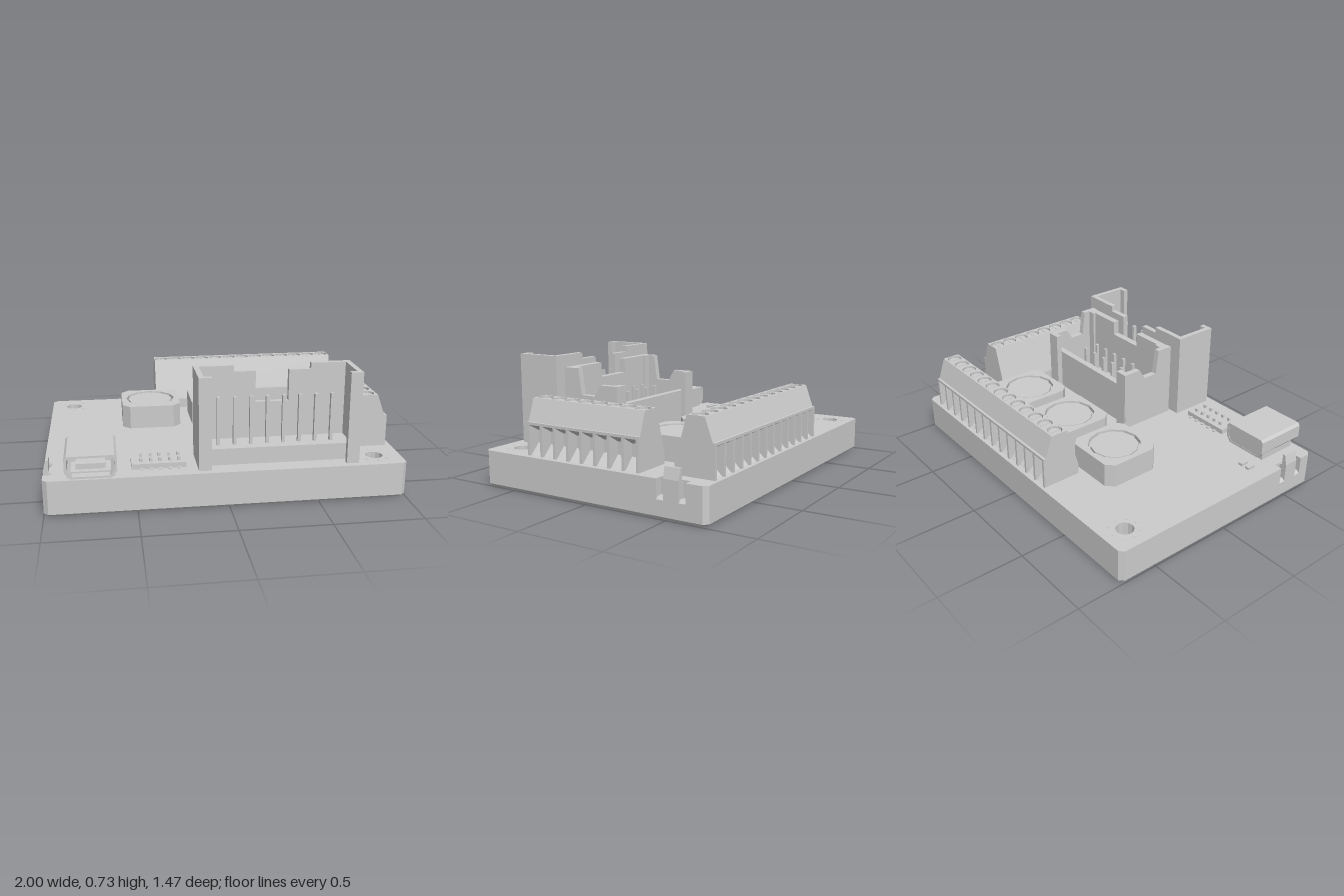
import * as THREE from 'three';

const mat = new THREE.MeshStandardMaterial({ color: 0xcccccc, flatShading: true });
const TOP = 0.205; // board surface height

function add(parent, name, geo, x = 0, y = 0, z = 0) {
  const m = new THREE.Mesh(geo, mat);
  m.name = name;
  m.position.set(x, y, z);
  parent.add(m);
  return m;
}

// box given by its limits on each axis
function box(parent, name, x0, x1, y0, y1, z0, z1) {
  return add(parent, name, new THREE.BoxGeometry(x1 - x0, y1 - y0, z1 - z0),
    (x0 + x1) / 2, (y0 + y1) / 2, (z0 + z1) / 2);
}

const poly = pts => new THREE.Shape(pts.map(p => new THREE.Vector2(p[0], p[1])));

function circleHole(shape, x, y, r) {
  shape.holes.push(new THREE.Path().absarc(x, y, r, 0, Math.PI * 2, true));
}

const extrude = (shape, depth, opts = {}) =>
  new THREE.ExtrudeGeometry(shape, { depth, bevelEnabled: false, curveSegments: 6, ...opts });

// plan shape drawn as (x, -z), raised from y0 to y1
function slab(parent, name, shape, y0, y1, bevel = 0) {
  const opts = bevel ? { bevelEnabled: true, bevelSize: bevel, bevelOffset: -bevel, bevelThickness: bevel, bevelSegments: 1 } : {};
  const geo = extrude(shape, y1 - y0 - 2 * bevel, opts);
  geo.translate(0, 0, bevel);
  geo.rotateX(-Math.PI / 2);
  return add(parent, name, geo, 0, y0, 0);
}

const mounts = [[-0.86, -0.595], [0.85, 0.57]];

// board outline; the upper layer has slots beside the edge clips
function boardShape(slots) {
  const c = 0.025, zb = 0.733, zf = -0.712, d = 0.955;
  const pts = [[-1 + c, zf], [1 - c, zf], [1, zf + c]];
  if (slots) pts.push([1, 0.445], [d, 0.445], [d, 0.615], [1, 0.615]);
  pts.push([1, zb - c], [1 - c, zb], [-1 + c, zb], [-1, zb - c]);
  if (slots) pts.push([-1, -0.45], [-d, -0.45], [-d, -0.62], [-1, -0.62]);
  pts.push([-1, zf + c]);
  const s = poly(pts);
  mounts.forEach(([x, z]) => circleHole(s, x, -z, 0.05));
  return s;
}

function board(root) {
  const g = new THREE.Group();
  g.name = 'board';
  root.add(g);
  slab(g, 'boardBase', boardShape(false), 0, 0.115, 0.015);
  slab(g, 'boardTop', boardShape(true), 0.1, TOP);
  // tapered clip on each short side
  const clip = poly([[0.955, 0.1], [1, 0.1], [1, 0.21], [0.985, 0.27], [0.97, 0.27], [0.97, 0.2], [0.955, 0.2]]);
  add(g, 'leftClip', extrude(clip, 0.09), 0, 0, -0.575);
  add(g, 'rightClip', extrude(clip, 0.09), 0, 0, 0.58).rotation.y = Math.PI;
  // ring of vias round each mounting hole
  mounts.forEach(([x, z]) => {
    for (let i = 0; i < 8; i++) {
      const a = i * Math.PI / 4;
      add(g, 'via', new THREE.CylinderGeometry(0.008, 0.008, 0.004, 6),
        x + 0.082 * Math.cos(a), TOP, z + 0.082 * Math.sin(a));
    }
  });
}

// screw terminal block: x is outward, z runs along the block
function terminalBlock(root, name, n, length) {
  const g = new THREE.Group();
  g.name = name;
  root.add(g);
  const upper = [[0, 0.2], [0, 0.265], [0.07, 0.515], [0.073, 0.515], [0.073, 0.48],
    [0.167, 0.48], [0.167, 0.515], [0.172, 0.515], [0.217, 0.39], [0.232, 0.39]];
  const core = [...upper, [0.232, 0.375], [0.16, 0.335], [0.16, 0.265], [0.225, 0.2]];
  add(g, 'terminalBody', extrude(poly(core.reverse()), length));
  const fin = poly([[0.232, 0.2], [0.232, 0.385], [0.15, 0.385], [0.15, 0.2]]);
  const t = 0.016, pitch = length / n;
  for (let i = 0; i <= n; i++) {
    add(g, 'fin', extrude(fin, t), 0, 0, i * (length - t) / n);
  }
  // top plate with a sunken screw over every bay
  const plate = poly([[0.073, 0], [0.167, 0], [0.167, -length], [0.073, -length]].reverse());
  for (let i = 0; i < n; i++) {
    const z = (i + 0.5) * pitch;
    circleHole(plate, 0.12, -z, 0.043);
    add(g, 'screw', new THREE.CylinderGeometry(0.036, 0.036, 0.03, 10), 0.12, 0.49, z);
    box(g, 'screwSlot', 0.09, 0.15, 0.5, 0.508, z - 0.004, z + 0.004);
  }
  slab(g, 'topPlate', plate, 0.48, 0.515);
  return g;
}

// chamfered square coil with a round recessed core
function inductor(root, x, z) {
  const g = new THREE.Group();
  g.name = 'inductor';
  g.position.set(x, 0, z);
  root.add(g);
  const r = 0.18, c = 0.135;
  const s = poly([[-c, -r], [c, -r], [r, -c], [r, c], [c, r], [-c, r], [-r, c], [-r, -c]]);
  circleHole(s, 0, 0, 0.152);
  slab(g, 'coilCase', s, TOP - 0.005, 0.345);
  add(g, 'coilCore', new THREE.CylinderGeometry(0.138, 0.138, 0.14, 12), 0, 0.27, 0);
  add(g, 'coilFloor', new THREE.CylinderGeometry(0.155, 0.155, 0.12, 12), 0, 0.26, 0);
}

// tall open-fronted connector with one row of pins
function rowConnector(root) {
  const g = new THREE.Group();
  g.name = 'rowConnector';
  root.add(g);
  const x0 = -0.165, x1 = 0.73;
  box(g, 'connectorFloor', x0, x1, 0.2, 0.3, 0.41, 0.605);
  const wall = poly([[x0, 0.2], [x1, 0.2], [x1, 0.725], [0.5, 0.725], [0.5, 0.69], [0.375, 0.69],
    [0.375, 0.51], [0.185, 0.51], [0.185, 0.69], [0.06, 0.69], [0.06, 0.725], [x0, 0.725]]);
  add(g, 'backWall', extrude(wall, 0.032), 0, 0, 0.408);
  box(g, 'sideWall', x0, x0 + 0.03, 0.2, 0.725, 0.41, 0.675);
  box(g, 'sideWall', x1 - 0.03, x1, 0.2, 0.725, 0.41, 0.675);
  box(g, 'frontLip', x0, x0 + 0.07, 0.2, 0.725, 0.645, 0.675);
  box(g, 'frontLip', x1 - 0.07, x1, 0.2, 0.725, 0.645, 0.675);
  for (let i = 0; i < 8; i++) {
    const x = -0.04 + i * 0.0915;
    box(g, 'pin', x - 0.009, x + 0.009, 0.28, 0.575, 0.525, 0.548);
  }
}

// keyed box header with two rows of pins and raised corner ears
function boxHeader(root) {
  const g = new THREE.Group();
  g.name = 'boxHeader';
  root.add(g);
  const x0 = -0.105, x1 = 0.68, mid = (x0 + x1) / 2;
  box(g, 'headerFloor', x0 + 0.03, x1 - 0.03, 0.2, 0.27, 0.07, 0.37);
  const front = poly([[x0, 0.2], [x1, 0.2], [x1, 0.58], [x1 - 0.04, 0.66], [0.4, 0.66], [0.4, 0.575],
    [0.17, 0.575], [0.17, 0.66], [x0 + 0.04, 0.66], [x0, 0.58]]);
  add(g, 'frontWall', extrude(front, 0.04), 0, 0, 0.345);
  box(g, 'rearWall', x0 + 0.03, x1 - 0.03, 0.2, 0.46, 0.06, 0.1);
  const ear = poly([[-0.39, 0.2], [-0.03, 0.2], [-0.03, 0.575], [-0.14, 0.575], [-0.18, 0.51],
    [-0.27, 0.51], [-0.29, 0.66], [-0.39, 0.66]]);
  for (const s of [-1, 1]) {
    const end = add(g, 'endWall', extrude(ear, 0.035), mid + s * 0.375 - 0.0175, 0, 0);
    end.rotation.y = Math.PI / 2;
    const cx = mid + s * 0.352;
    box(g, 'ear', cx - 0.04, cx + 0.04, 0.2, 0.575, 0.025, 0.06);
    box(g, 'latch', cx - 0.04, cx + 0.04, 0.2, 0.66, 0.33, 0.385);
  }
  for (let i = 0; i < 5; i++) {
    for (const z of [0.17, 0.26]) {
      const x = 0.105 + i * 0.0915;
      box(g, 'pin', x - 0.009, x + 0.009, 0.26, 0.5, z - 0.009, z + 0.009);
    }
  }
}

// metal port with a hollow tapered mouth
function dataPort(root) {
  const g = new THREE.Group();
  g.name = 'dataPort';
  root.add(g);
  const section = k => [[-0.11, 0], [0.11, 0], [0.138, 0.035], [0.138, 0.11], [0.125, 0.125],
    [-0.125, 0.125], [-0.138, 0.11], [-0.138, 0.035]].map(([x, y]) => [x * k, 0.0625 + (y - 0.0625) * (k - (1 - k) * 0.8)]);
  const shell = poly(section(1));
  shell.holes.push(new THREE.Path(section(0.9).reverse().map(p => new THREE.Vector2(...p))));
  add(g, 'portShell', extrude(shell, 0.325), -0.742, 0.22, 0.408);
  add(g, 'portBack', extrude(poly(section(0.95)), 0.12), -0.742, 0.22, 0.41);
  box(g, 'portTongue', -0.82, -0.665, 0.265, 0.295, 0.5, 0.71);
  box(g, 'portFoot', -0.87, -0.615, 0.2, 0.24, 0.43, 0.68);
}

// flat low part with two rows of legs
function smallHeader(root) {
  const g = new THREE.Group();
  g.name = 'smallHeader';
  root.add(g);
  box(g, 'headerBody', -0.525, -0.225, 0.2, 0.235, 0.45, 0.605);
  for (let i = 0; i < 5; i++) {
    const x = -0.47 + i * 0.052;
    for (const z of [0.49, 0.565]) box(g, 'pin', x - 0.008, x + 0.008, 0.2, 0.255, z - 0.008, z + 0.008);
    box(g, 'leg', x - 0.008, x + 0.008, 0.2, 0.212, 0.43, 0.625);
  }
}

export function createModel() {
  const root = new THREE.Group();
  root.name = 'circuitBoard';
  board(root);
  const rear = terminalBlock(root, 'rearTerminalBlock', 13, 1.2);
  rear.rotation.y = Math.PI / 2;
  rear.position.set(-0.31, 0, -0.482);
  terminalBlock(root, 'leftTerminalBlock', 8, 0.74).position.set(0.737, 0, -0.32);
  [-0.365, 0.07, 0.505].forEach(x => inductor(root, x, -0.265));
  rowConnector(root);
  boxHeader(root);
  dataPort(root);
  smallHeader(root);
  // two tiny chips near the port
  for (const x of [-0.88, -0.83]) box(root, 'chip', x - 0.014, x + 0.014, 0.2, 0.22, 0.29, 0.34);
  return root;
}
